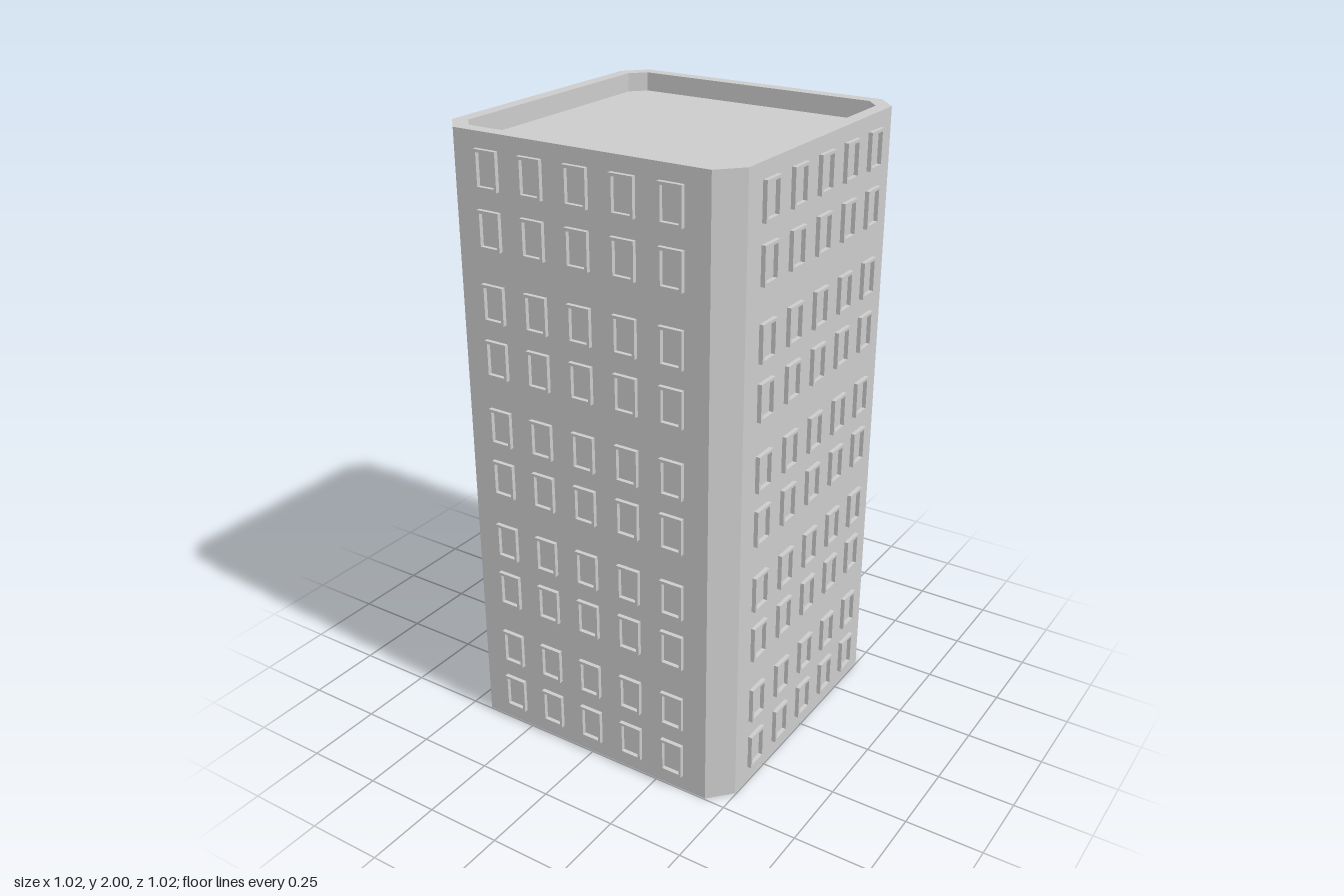
import * as THREE from 'three';

const grey = new THREE.MeshStandardMaterial({ color: 0xcccccc, flatShading: true });
const greyThin = new THREE.MeshStandardMaterial({ color: 0xcccccc, flatShading: true, side: THREE.DoubleSide });

const HALF = 0.496; // wall distance from the centre axis

// Chamfered square outline at height y
function outline(w, cx, cz, y) {
  return [[-cx, w], [cx, w], [w, cz], [w, -cz], [cx, -w], [-cx, -w], [-w, -cz], [-w, cz]]
    .map(([x, z]) => new THREE.Vector3(x, y, z));
}

// Flat-faced skin through successive outlines
function skin(rings) {
  const points = [];
  for (let r = 0; r < rings.length - 1; r++) {
    const lower = rings[r], upper = rings[r + 1];
    for (let i = 0; i < 8; i++) {
      const j = (i + 1) % 8;
      points.push(lower[i], lower[j], upper[j], lower[i], upper[j], upper[i]);
    }
  }
  const geometry = new THREE.BufferGeometry().setFromPoints(points);
  geometry.computeVertexNormals();
  return geometry;
}

function rectangle(target, w, h) {
  target.moveTo(-w / 2, -h / 2);
  target.lineTo(w / 2, -h / 2);
  target.lineTo(w / 2, h / 2);
  target.lineTo(-w / 2, h / 2);
  target.closePath();
  return target;
}

function addMesh(parent, name, geometry, material) {
  const mesh = new THREE.Mesh(geometry, material);
  mesh.name = name;
  parent.add(mesh);
  return mesh;
}

export function createModel() {
  const tower = new THREE.Group();
  tower.name = 'towerBlock';

  // Walls, open underneath, with the parapet rim and its inner faces
  const rimInner = outline(0.452, 0.408, 0.404, 2);
  const roofEdge = outline(0.452, 0.408, 0.404, 1.94);
  addMesh(tower, 'walls', skin([
    outline(HALF, 0.43, 0.423, 0), outline(HALF, 0.43, 0.423, 2),
  ]), greyThin);
  addMesh(tower, 'parapet', skin([
    outline(HALF, 0.43, 0.423, 2), rimInner, roofEdge,
  ]), greyThin);

  // Sunken flat roof
  const roofShape = new THREE.Shape(roofEdge.map((p) => new THREE.Vector2(p.x, -p.z)));
  const roof = addMesh(tower, 'roof', new THREE.ShapeGeometry(roofShape), greyThin);
  roof.rotation.x = -Math.PI / 2;
  roof.position.y = 1.94;

  // Raised window frame, shared by all windows
  const frameShape = rectangle(new THREE.Shape(), 0.078, 0.117);
  frameShape.holes.push(rectangle(new THREE.Path(), 0.06, 0.099));
  const frameGeometry = new THREE.ExtrudeGeometry(frameShape, { depth: 0.0135, bevelEnabled: false });

  // Four facades: five floors, each with two rows of five windows
  ['front', 'left', 'back', 'right'].forEach((side, s) => {
    const facade = new THREE.Group();
    facade.name = `${side}Windows`;
    facade.rotation.y = s * Math.PI / 2;
    for (let floor = 0; floor < 5; floor++) {
      for (const rowHeight of [0.112, 0.289]) {
        for (let column = -2; column <= 2; column++) {
          const frame = addMesh(facade, 'windowFrame', frameGeometry, grey);
          frame.position.set(column * 0.155, rowHeight + floor * 0.401, HALF + 0.0005);
        }
      }
    }
    tower.add(facade);
  });

  return tower;
}
